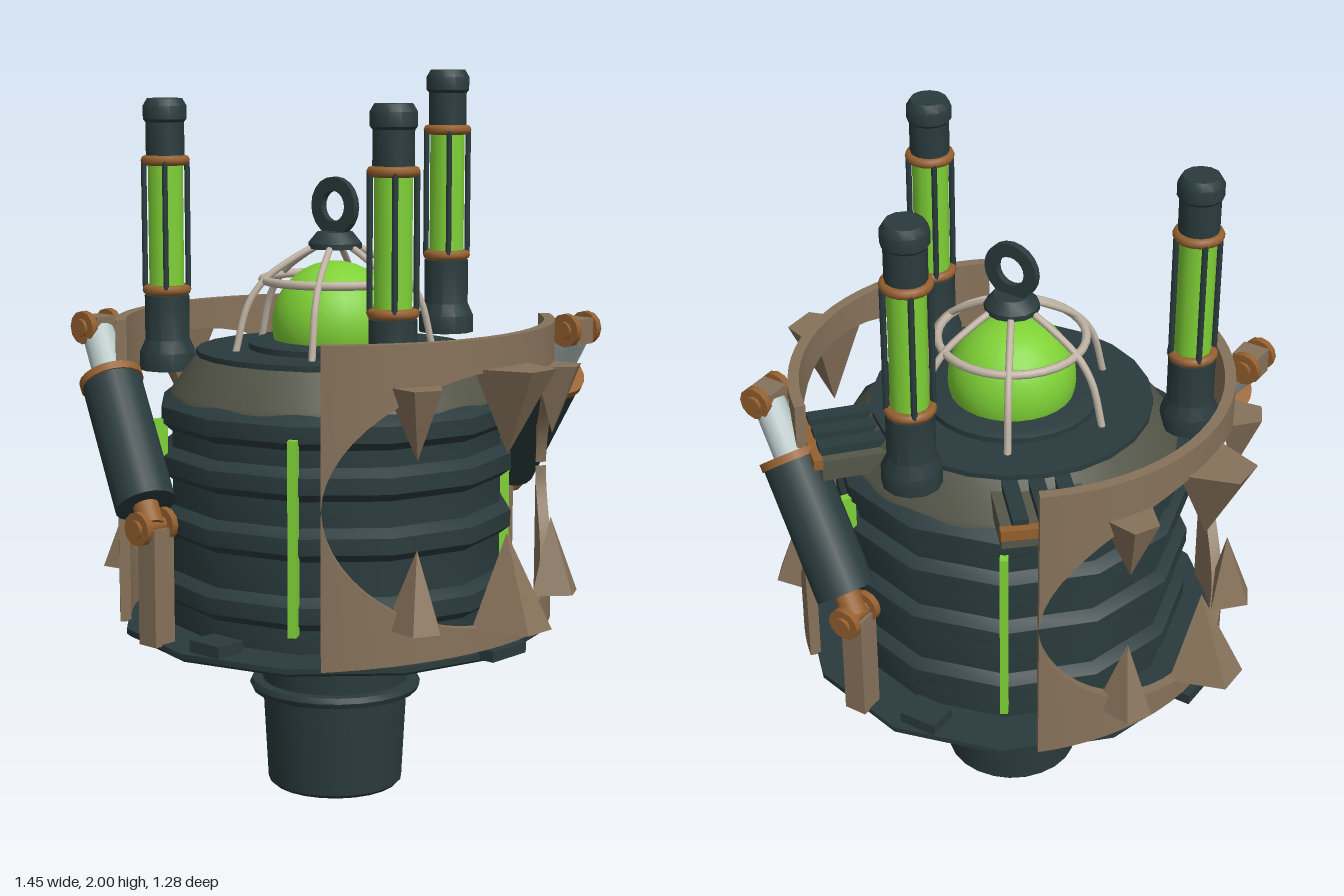
import * as THREE from 'three';
import { toCreasedNormals } from 'three/addons/utils/BufferGeometryUtils.js';
import { ConvexGeometry } from 'three/addons/geometries/ConvexGeometry.js';

const mat = (name, color) => {
  const m = new THREE.MeshStandardMaterial({ color });
  m.name = name;
  return m;
};
const V = (x, y, z) => new THREE.Vector3(x, y, z);

export function createModel() {
  const dark = mat('dark iron', 0x2a3b3d);
  const olive = mat('olive metal', 0x55574a);
  const tan = mat('tan plate', 0x87725a);
  const copper = mat('copper', 0x95602f);
  const green = mat('glowing green', 0x7fd136);
  const bone = mat('pale wire', 0xc0b4a4);
  const steel = mat('pale steel', 0xb9c8c8);

  const model = new THREE.Group();
  const add = (parent, name, geo, material, x = 0, y = 0, z = 0) => {
    const mesh = new THREE.Mesh(geo, material);
    mesh.name = name;
    mesh.position.set(x, y, z);
    parent.add(mesh);
    return mesh;
  };
  const group = (name, parent = model) => {
    const g = new THREE.Group();
    g.name = name;
    parent.add(g);
    return g;
  };
  // Turned part from [radius, height] pairs, bottom to top
  const turned = (pts, sides) =>
    toCreasedNormals(new THREE.LatheGeometry(pts.map(([r, y]) => new THREE.Vector2(r, y)), sides), 0.6);
  const ring = (R, r, sides = 20) => new THREE.TorusGeometry(R, r, 8, sides).rotateX(Math.PI / 2);
  // Cylinder stretched between two points
  const rod = (parent, name, a, b, r, material, sides = 16) => {
    const mesh = add(parent, name, new THREE.CylinderGeometry(r, r, a.distanceTo(b), sides), material);
    mesh.position.copy(a).lerp(b, 0.5);
    mesh.quaternion.setFromUnitVectors(V(0, 1, 0), b.clone().sub(a).normalize());
    return mesh;
  };

  // Neck and flange
  add(model, 'neck', turned([[0, 0], [0.18, 0], [0.19, 0.01], [0.21, 0.39], [0.21, 0.4]], 24), dark);
  add(model, 'neckRing', turned([[0.2, 0.275], [0.235, 0.275], [0.242, 0.29], [0.235, 0.305], [0.2, 0.305]], 24), dark);
  add(model, 'flange', turned([[0.2, 0.39], [0.4, 0.462], [0.59, 0.467], [0.6, 0.475], [0.6, 0.49], [0, 0.495]], 12), dark);
  add(model, 'flangeBlock', new THREE.BoxGeometry(0.11, 0.035, 0.09), dark, 0.055, 0.505, 0.525);
  add(model, 'flangeBlock', new THREE.BoxGeometry(0.11, 0.035, 0.09), dark, -0.055, 0.505, -0.525);
  for (const s of [1, -1]) add(model, 'flangeClamp', new THREE.BoxGeometry(0.05, 0.03, 0.14), dark, s * 0.6, 0.49, 0);

  // Drum with swollen bands
  const drum = [[0.465, 0.49]];
  for (const y of [0.6, 0.785, 0.945, 1.08])
    drum.push([0.465, y - 0.045], [0.495, y - 0.022], [0.495, y + 0.022], [0.465, y + 0.045]);
  drum.push([0.455, 1.13]);
  add(model, 'drum', turned(drum, 12), dark);
  add(model, 'shoulder', turned([[0.46, 1.12], [0.455, 1.135], [0.38, 1.235]], 24), olive);
  add(model, 'topDisc', turned([[0.37, 1.225], [0.385, 1.23], [0.385, 1.245], [0, 1.247]], 24), dark);
  add(model, 'domeSeat', turned([[0.24, 1.24], [0.24, 1.262], [0.22, 1.27], [0, 1.27]], 24), dark);
  for (const x of [-0.25, 0.25]) for (const z of [-0.433, 0.433]) {
    const strip = add(model, 'lightStrip', new THREE.BoxGeometry(0.022, 0.52, 0.04), green, x, 0.81, z);
    strip.rotation.y = Math.atan2(x, z);
  }

  // Dome, wire cage and lifting ring
  add(model, 'dome', new THREE.SphereGeometry(0.175, 28, 18), green, 0, 1.31, 0);
  const cage = group('cage');
  const ribPath = new THREE.CatmullRomCurve3(
    [V(0.285, 1.24, 0), V(0.25, 1.37, 0), V(0.2, 1.44, 0), V(0.11, 1.5, 0), V(0.05, 1.53, 0)]);
  const ribGeo = new THREE.TubeGeometry(ribPath, 14, 0.01, 8);
  for (let i = 0; i < 6; i++) add(cage, 'rib', ribGeo, bone).rotation.y = i * Math.PI / 3;
  add(cage, 'hoop', ring(0.2, 0.012, 32), bone, 0, 1.435, 0);
  add(model, 'domeCap', turned([[0, 1.515], [0.075, 1.52], [0.075, 1.535], [0.05, 1.565], [0, 1.567]], 12), dark);
  const eye = new THREE.Shape().absarc(0, 0, 0.08, 0, Math.PI * 2);
  eye.holes.push(new THREE.Path().absarc(0, 0, 0.042, 0, Math.PI * 2, true));
  add(model, 'liftingRing',
    new THREE.ExtrudeGeometry(eye, { depth: 0.02, bevelEnabled: false, curveSegments: 10 }), dark, 0, 1.635, -0.01);

  // Glowing tubes
  for (const [x, y, z] of [[0.42, 0, 0.24], [-0.42, 0, 0.24], [0, 0.075, -0.48]]) {
    const tube = group('glowTube');
    tube.position.set(x, y, z);
    add(tube, 'tubeFoot', turned([[0, 1.17], [0.08, 1.17], [0.08, 1.22], [0.064, 1.255], [0.064, 1.38], [0, 1.39]], 12), dark);
    add(tube, 'tubeGlass', new THREE.CylinderGeometry(0.05, 0.05, 0.38, 12), green, 0, 1.575, 0);
    for (const h of [1.395, 1.755]) add(tube, 'tubeCollar', ring(0.055, 0.014), copper, 0, h, 0);
    for (let i = 0; i < 4; i++) {
      const a = Math.PI / 4 + i * Math.PI / 2;
      add(tube, 'tubeBar', new THREE.CylinderGeometry(0.008, 0.008, 0.36, 6), dark,
        0.06 * Math.sin(a), 1.575, 0.06 * Math.cos(a));
    }
    add(tube, 'tubeCap', turned([[0, 1.75], [0.055, 1.755], [0.055, 1.86], [0.062, 1.868],
      [0.062, 1.905], [0.05, 1.925], [0, 1.925]], 12), dark);
  }

  // Curved jaw band: one rectangular section per angle
  const jawBand = (lo, hi) => {
    const N = 28, half = 0.89, pos = [], secs = [];
    for (let i = 0; i <= N; i++) {
      const u = -Math.cos(i / N * Math.PI), a = u * half;
      const at = (r, y) => V(r * Math.cos(a), y, r * Math.sin(a));
      secs.push([at(0.575, lo(u)), at(0.605, lo(u)), at(0.605, hi(u)), at(0.575, hi(u))]);
    }
    const tri = (...p) => p.forEach(v => pos.push(v.x, v.y, v.z));
    const quad = (a, b, c, d) => { tri(a, b, c); tri(a, c, d); };
    for (let i = 0; i < N; i++) for (let k = 0; k < 4; k++) {
      const m = (k + 1) % 4;
      quad(secs[i][k], secs[i][m], secs[i + 1][m], secs[i + 1][k]);
    }
    const [a, b, c, d] = secs[0];
    quad(a, d, c, b);
    quad(...secs[N]);
    const geo = new THREE.BufferGeometry();
    geo.setAttribute('position', new THREE.Float32BufferAttribute(pos, 3));
    geo.computeVertexNormals();
    return toCreasedNormals(geo, 0.6);
  };
  const arch = u => Math.pow(Math.max(0, 1 - Math.abs(u) ** 2.2), 0.55);
  const upperGeo = jawBand(u => 0.905 + 0.34 * arch(u), () => 1.33);
  const lowerGeo = jawBand(u => 0.485 + 0.02 * (1 - u * u), u => 0.895 - 0.33 * arch(u));
  // Four-sided fang from a base at y0 to a tip at y1
  const fang = (w, out, y0, y1) => new ConvexGeometry([
    V(0.575, y0, w), V(0.575, y0, -w), V(out, y0, w * 0.5), V(out, y0, -w * 0.5), V(0.61, y1, 0)]);
  for (const turn of [0, Math.PI]) {
    const jaw = group('jaw');
    jaw.rotation.y = turn;
    add(jaw, 'upperJaw', upperGeo, tan);
    add(jaw, 'lowerJaw', lowerGeo, tan);
    add(jaw, 'upperFang', fang(0.1, 0.725, 1.25, 1.02), tan);
    add(jaw, 'lowerFang', fang(0.1, 0.725, 0.56, 0.81), tan);
    for (const s of [1, -1]) {
      add(jaw, 'upperSideFang', fang(0.075, 0.68, 1.22, 1.03), tan).rotation.y = s * 0.48;
      add(jaw, 'lowerSideFang', fang(0.075, 0.68, 0.59, 0.8), tan).rotation.y = s * 0.48;
    }
  }

  // Slanted pistons on opposite sides
  for (const turn of [0, Math.PI]) {
    const piston = group('piston');
    piston.rotation.y = turn;
    const a = V(-0.135, 0.81, 0.575), b = V(-0.51, 1.3, 0.425);
    const at = t => a.clone().lerp(b, t);
    rod(piston, 'pistonBarrel', at(0.1), at(0.72), 0.083, dark, 20);
    rod(piston, 'pistonCollar', at(0.7), at(0.735), 0.088, copper, 20);
    rod(piston, 'pistonRod', at(0.7), at(0.97), 0.045, steel);
    rod(piston, 'pistonFoot', at(0), at(0.12), 0.035, copper);
    add(piston, 'lowerBracket', new THREE.BoxGeometry(0.065, 0.32, 0.07), tan, -0.135, 0.645, 0.56);
    add(piston, 'upperBracket', new THREE.BoxGeometry(0.075, 0.07, 0.07), tan, -0.505, 1.295, 0.425);
    for (const p of [a, b]) {
      rod(piston, 'pivotPin', V(p.x, p.y, p.z - 0.065), V(p.x, p.y, p.z + 0.065), 0.025, copper, 10);
      for (const dz of [-0.045, 0.045])
        rod(piston, 'pivotDisc', V(p.x, p.y, p.z + dz - 0.01), V(p.x, p.y, p.z + dz + 0.01), 0.046, copper, 12);
    }
  }

  // Rear vents with dark slats
  for (const s of [1, -1]) {
    const vent = group('vent');
    vent.rotation.y = Math.PI - s * 0.73;
    add(vent, 'ventBody', new THREE.BoxGeometry(0.24, 0.06, 0.2), olive, 0, 1.175, 0.455);
    for (const x of [-0.07, 0, 0.07])
      add(vent, 'ventSlat', new THREE.BoxGeometry(0.042, 0.03, 0.2), dark, x, 1.215, 0.455);
    add(vent, 'ventLip', new THREE.BoxGeometry(0.25, 0.03, 0.025), copper, 0, 1.2, 0.565);
  }

  return model;
}
